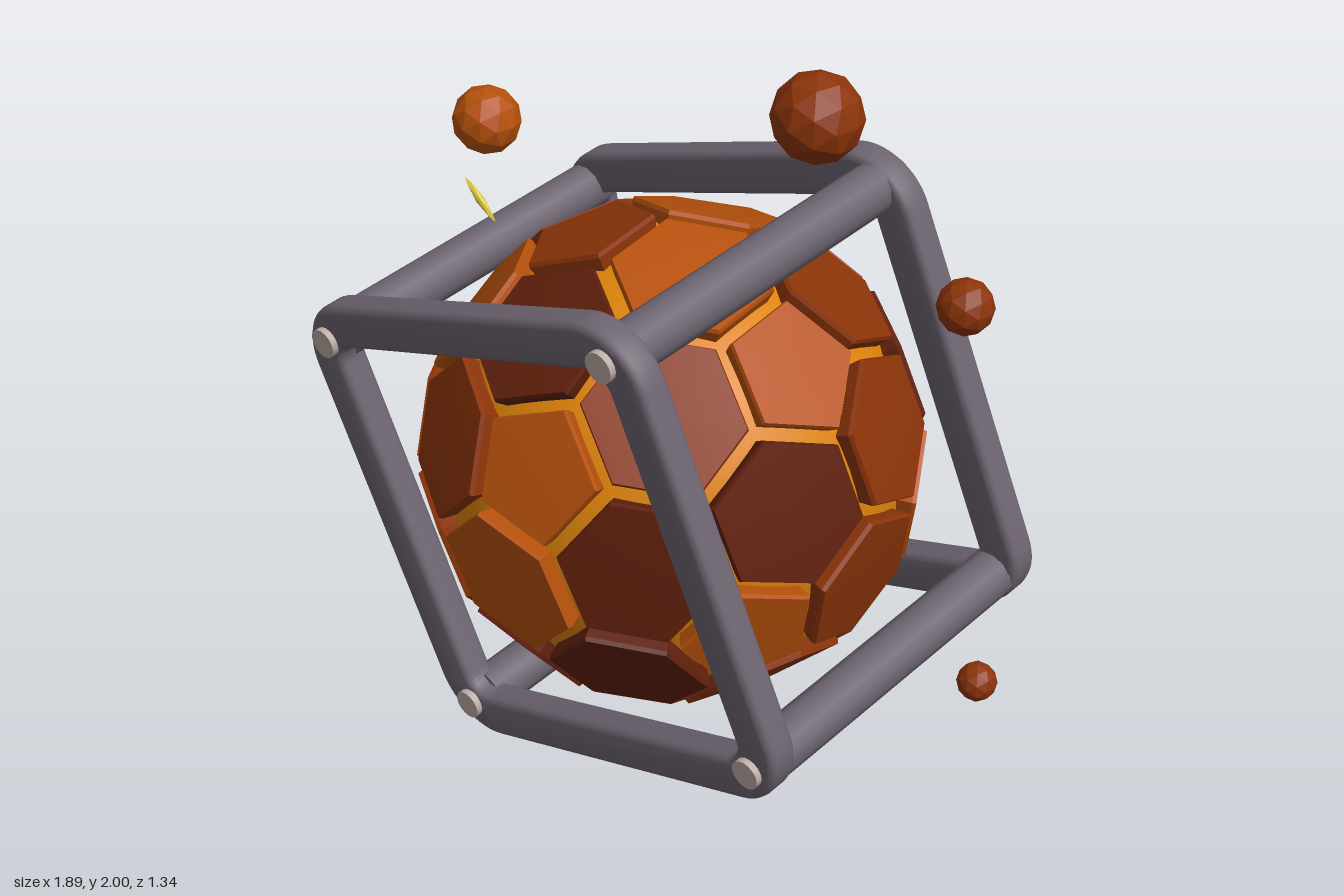
import * as THREE from 'three';
import { toCreasedNormals } from 'three/addons/utils/BufferGeometryUtils.js';

const V = (x, y, z) => new THREE.Vector3(x, y, z);

function material(name, color) {
  const m = new THREE.MeshStandardMaterial({ color });
  m.name = name;
  return m;
}

function part(parent, name, geometry, mat) {
  const mesh = new THREE.Mesh(geometry, mat);
  mesh.name = name;
  parent.add(mesh);
  return mesh;
}

// Flat normals for a geometry that is not indexed
function faceted(geometry) {
  geometry.computeVertexNormals();
  return geometry;
}

// Rotation whose z axis is exact and whose y axis is as close as possible to the one given
function basis(y, z) {
  z.normalize();
  const x = y.clone().cross(z).normalize();
  return new THREE.Matrix4().makeBasis(x, z.clone().cross(x), z);
}

// Rounded square path, with half side h and corner radius r
function roundedSquare(path, h, r) {
  const c = h - r;
  path.moveTo(h, -c);
  path.absarc(c, c, r, 0, Math.PI / 2);
  path.absarc(-c, c, r, Math.PI / 2, Math.PI);
  path.absarc(-c, -c, r, Math.PI, Math.PI * 1.5);
  path.absarc(c, -c, r, Math.PI * 1.5, Math.PI * 2);
  path.closePath();
  return path;
}

// Cells of the shell: 12 pentagons and 30 hexagons around the points of a split icosahedron
function shellCells(matrix) {
  const pos = new THREE.IcosahedronGeometry(1, 1).applyMatrix4(matrix).attributes.position;
  const cells = [];
  for (let i = 0; i < pos.count; i += 3) {
    const tri = [0, 1, 2].map(k => V().fromBufferAttribute(pos, i + k));
    const mid = tri[0].clone().add(tri[1]).add(tri[2]).normalize();
    for (const p of tri) {
      let cell = cells.find(c => c.dir.distanceTo(p) < 0.01);
      if (!cell) cells.push(cell = { dir: p, corners: [] });
      cell.corners.push(mid);
    }
  }
  for (const { dir, corners } of cells) {
    const u = corners[0].clone().cross(dir).normalize();
    const v = dir.clone().cross(u);
    const angle = p => Math.atan2(p.dot(v), p.dot(u));
    corners.sort((a, b) => angle(a) - angle(b));
  }
  return cells;
}

// Nearly flat plate with a small bevel and straight sides
function plateGeometry({ dir, corners }) {
  const ring = (radius, inset) =>
    corners.map(c => dir.clone().lerp(c, inset).normalize().multiplyScalar(radius));
  const rings = [ring(0.682, 0.87), ring(0.672, 0.9), ring(0.6, 0.9)];
  const apex = dir.clone().multiplyScalar(0.662);
  const points = [];
  const n = corners.length;
  for (let i = 0; i < n; i++) {
    const j = (i + 1) % n;
    points.push(apex, rings[0][i], rings[0][j]);
    for (let k = 0; k < 2; k++) {
      const a = rings[k], b = rings[k + 1];
      points.push(a[i], b[i], b[j], a[i], b[j], a[j]);
    }
  }
  return toCreasedNormals(new THREE.BufferGeometry().setFromPoints(points), 0.4);
}

export function createModel() {
  const model = new THREE.Group();
  model.name = 'cagedCore';
  const steel = material('frame grey', 0x6d6470);
  const boltGrey = material('bolt grey', 0xbcaca6);
  const glow = material('core amber', 0xdc830a);
  const light = material('light rust', 0xb5500b);
  const mid = material('mid rust', 0x8c3409);
  const dark = material('dark rust', 0x5f1f0c);
  const yellow = material('spark yellow', 0xd8c43c);
  const centre = V(0, 0.865, 0);

  // Glowing core under a shell of plates
  const core = new THREE.Group();
  core.name = 'core';
  core.position.copy(centre);
  model.add(core);
  part(core, 'innerCore', new THREE.SphereGeometry(0.63, 48, 32), glow);

  const cells = shellCells(basis(V(0.24, 0.958, 0.18), V(-0.04, -0.17, 0.985)));
  // Directions of the light and dark plates; all others are mid
  const paint = (mat, dirs) => {
    for (const d of dirs) {
      const v = V(...d);
      cells.reduce((a, b) => (b.dir.dot(v) > a.dir.dot(v) ? b : a)).mat = mat;
    }
  };
  paint(light, [
    [0.12, 0.33, 0.93], [-0.02, -0.15, 0.99], [-0.64, 0.66, 0.4], [0.8, -0.33, 0.5],
    [-0.59, -0.64, 0.5], [0.83, -0.16, -0.54], [0.75, 0.65, 0.12], [-0.05, 0.93, -0.36],
    [0.29, 0.945, 0.15], [-0.37, 0.56, -0.74], [-0.55, -0.02, -0.83], [-0.13, -0.37, -0.92],
    [0.26, -0.96, -0.15],
  ]);
  paint(dark, [
    [0.53, 0.04, 0.85], [-0.16, -0.6, 0.78], [0.37, -0.5, 0.78], [-0.08, 0.72, 0.69],
    [0.09, -0.88, 0.46], [0.91, 0.19, 0.36], [0.58, 0.27, -0.76], [-0.52, -0.6, -0.61],
  ]);
  for (const cell of cells) part(core, 'shellPlate', plateGeometry(cell), cell.mat || mid);

  // Tilted cage: two rounded square frames joined by four struts
  const cage = new THREE.Group();
  cage.name = 'cage';
  cage.quaternion.setFromRotationMatrix(basis(V(-0.326, 0.942, 0.088), V(-0.073, -0.12, 0.99)));
  cage.position.set(0.002, 0.859, 0.002);
  model.add(cage);

  const bevel = 0.02;
  const outline = roundedSquare(new THREE.Shape(), 0.67 - bevel, 0.18 - bevel);
  outline.holes.push(roundedSquare(new THREE.Path(), 0.545 + bevel, 0.06 + bevel));
  const frameGeometry = toCreasedNormals(new THREE.ExtrudeGeometry(outline, {
    depth: 0.09 - 2 * bevel, bevelThickness: bevel, bevelSize: bevel, bevelSegments: 3, curveSegments: 8,
  }).translate(0, 0, bevel - 0.045), 0.7);
  const strutGeometry = new THREE.CylinderGeometry(0.069, 0.069, 0.96, 12).rotateX(Math.PI / 2);
  const boltGeometry = toCreasedNormals(
    new THREE.CylinderGeometry(0.042, 0.042, 0.05, 16).rotateX(Math.PI / 2), 0.6);

  for (const side of [1, -1]) {
    part(cage, side > 0 ? 'frontFrame' : 'backFrame', frameGeometry, steel).position.z = side * 0.487;
  }
  for (const sx of [-1, 1]) {
    for (const sy of [-1, 1]) {
      const x = sx * 0.567, y = sy * 0.567;
      part(cage, 'strut', strutGeometry, steel).position.set(x, y, 0);
      for (const sz of [-1, 1]) part(cage, 'bolt', boltGeometry, boltGrey).position.set(x, y, sz * 0.525);
    }
  }

  // Faceted debris floating around the cage: x, y, z, radius
  const debris = [
    [0.35, 1.88, -0.13, 0.119, mid], [-0.753, 1.57, -0.12, 0.097, light],
    [0.757, 1.46, -0.21, 0.074, mid], [-0.88, 0.5, -0.19, 0.07, mid],
    [0.89, 0.41, -0.17, 0.054, mid], [-0.54, 0.1, -0.2, 0.091, mid],
  ];
  for (const [x, y, z, r, mat] of debris) {
    part(model, 'debris', faceted(new THREE.IcosahedronGeometry(r, 1)), mat).position.set(x, y, z);
  }

  // Thin sparks pointing away from the core
  const sparkGeometry = faceted(new THREE.OctahedronGeometry(1, 1).scale(0.013, 0.074, 0.011));
  for (const [x, y] of [[-0.605, 1.443], [-0.58, 0.253]]) {
    const spark = part(model, 'spark', sparkGeometry, yellow);
    spark.position.set(x, y, 0.072);
    spark.quaternion.setFromUnitVectors(V(0, 1, 0), V(x, y - centre.y, 0).normalize());
  }
  return model;
}
